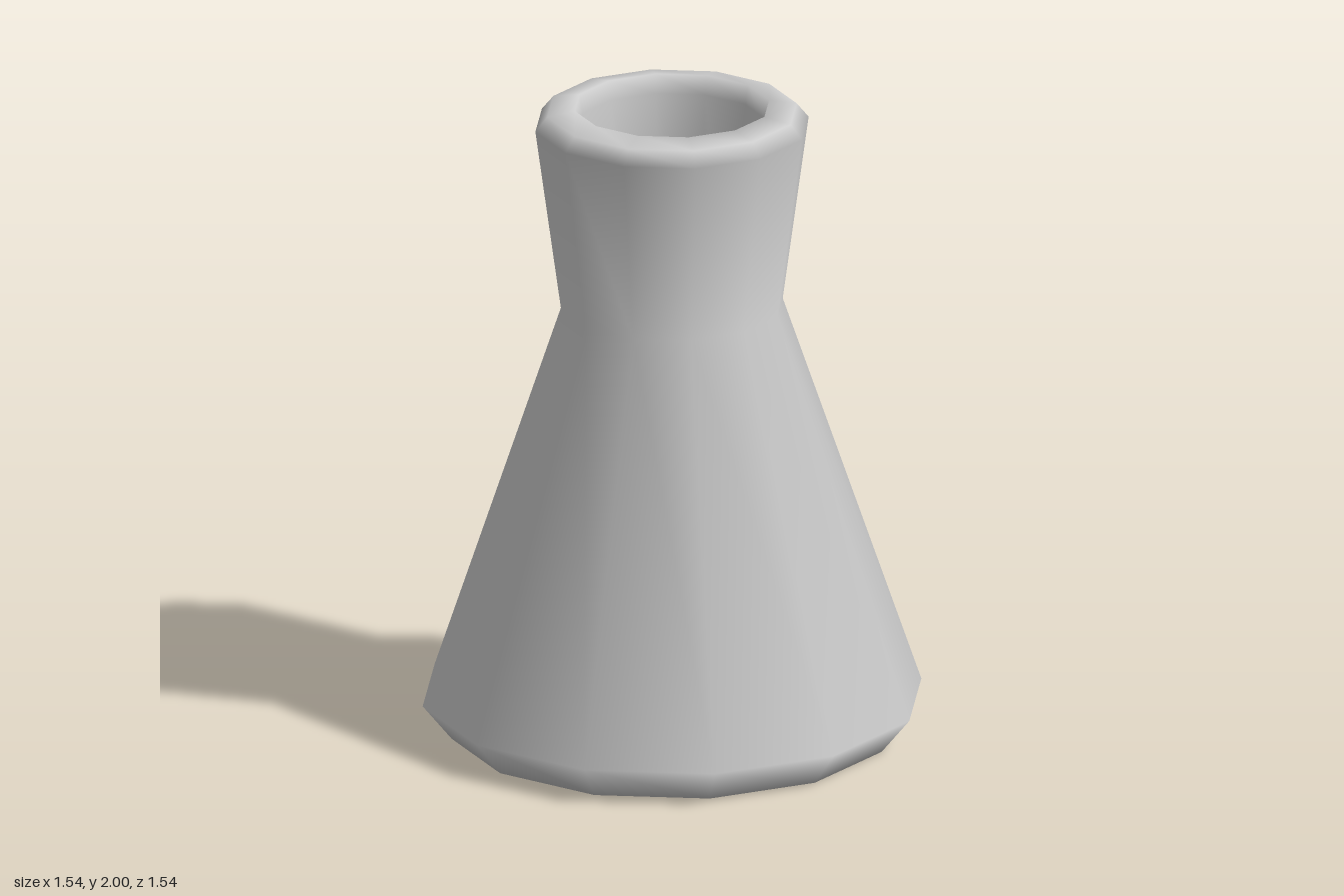
import * as THREE from 'three';

const SIDES = 12;

export function createModel() {
  const group = new THREE.Group();
  group.name = 'flask';

  // Closed wall profile [radius, height]: up the outside, over the lip, down the inside
  const profile = [
    [0, 0],
    [0.68, 0],       // base edge
    [0.77, 0.11],    // foot bevel
    [0.342, 1.36],   // neck waist
    [0.422, 1.94],   // flared mouth
    [0.385, 1.985],  // rounded lip
    [0.3, 2.0],
    [0.29, 1.94],    // inner mouth
    [0.222, 1.36],   // inner waist
    [0.64, 0.13],    // inner floor edge
    [0, 0.13],
  ].map(([r, y]) => new THREE.Vector2(r, y));

  // Twelve-sided body with smooth normals
  const body = new THREE.Mesh(
    new THREE.LatheGeometry(profile, SIDES),
    new THREE.MeshStandardMaterial({ color: 0xcccccc })
  );
  body.name = 'flaskBody';
  group.add(body);

  return group;
}
